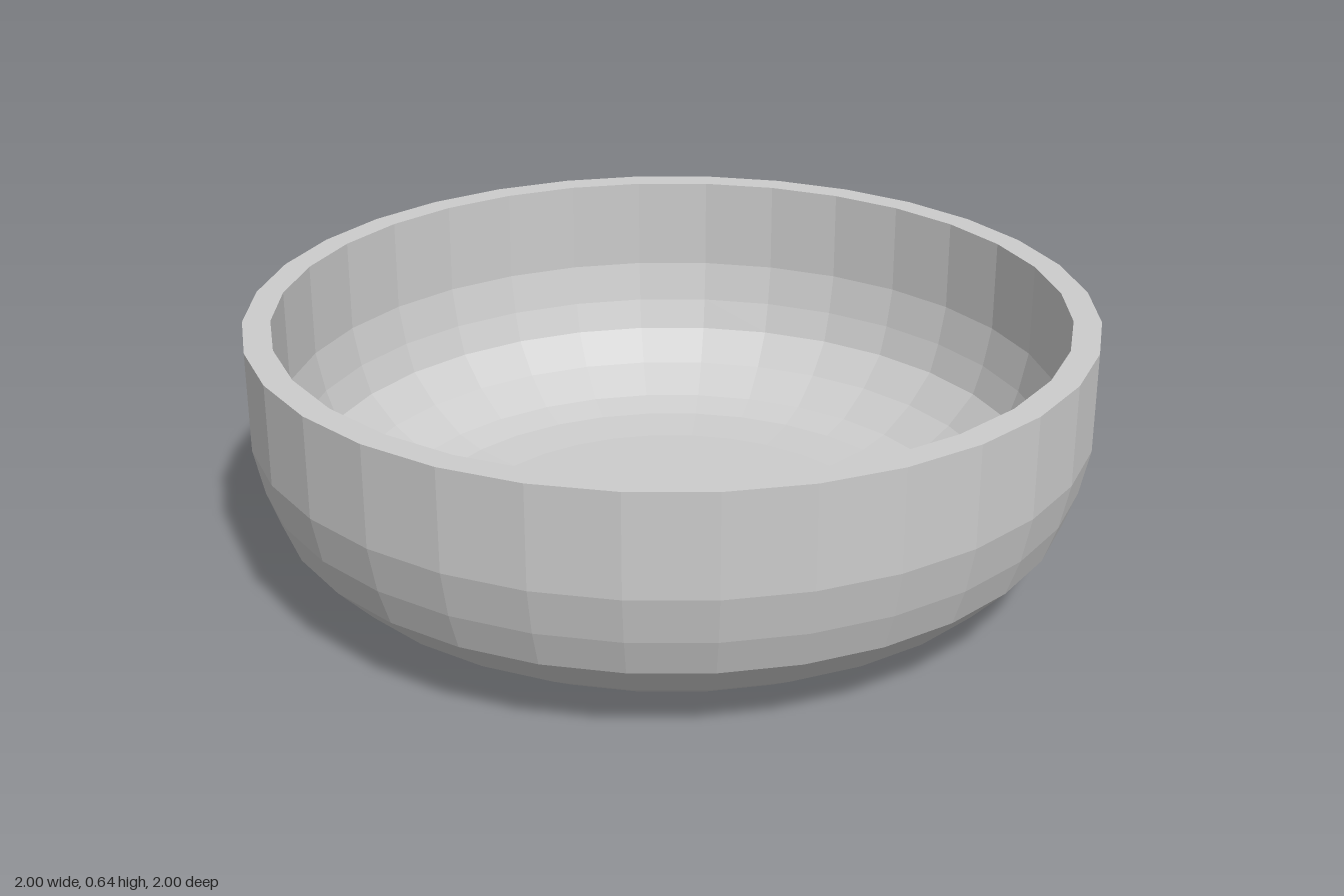
import * as THREE from 'three';

export function createModel() {
  const group = new THREE.Group();
  group.name = 'bowl';

  // Outer wall from the base centre up to the rim: [radius, height]
  const outer = [
    [0, 0], [0.53, 0.003], [0.66, 0.015], [0.75, 0.04], [0.86, 0.11],
    [0.945, 0.2], [0.977, 0.29], [1, 0.4], [1, 0.64],
  ];
  // Inner wall from the rim back down to the floor centre
  const inner = [
    [0.935, 0.64], [0.935, 0.41], [0.913, 0.31], [0.887, 0.235],
    [0.815, 0.16], [0.725, 0.1], [0.65, 0.078], [0.53, 0.067], [0, 0.065],
  ];

  const profile = [...outer, ...inner].map(([r, y]) => new THREE.Vector2(r, y));
  const material = new THREE.MeshStandardMaterial({ color: 0xcccccc, flatShading: true });
  const body = new THREE.Mesh(new THREE.LatheGeometry(profile, 32), material);
  body.name = 'bowlBody';
  group.add(body);
  return group;
}
